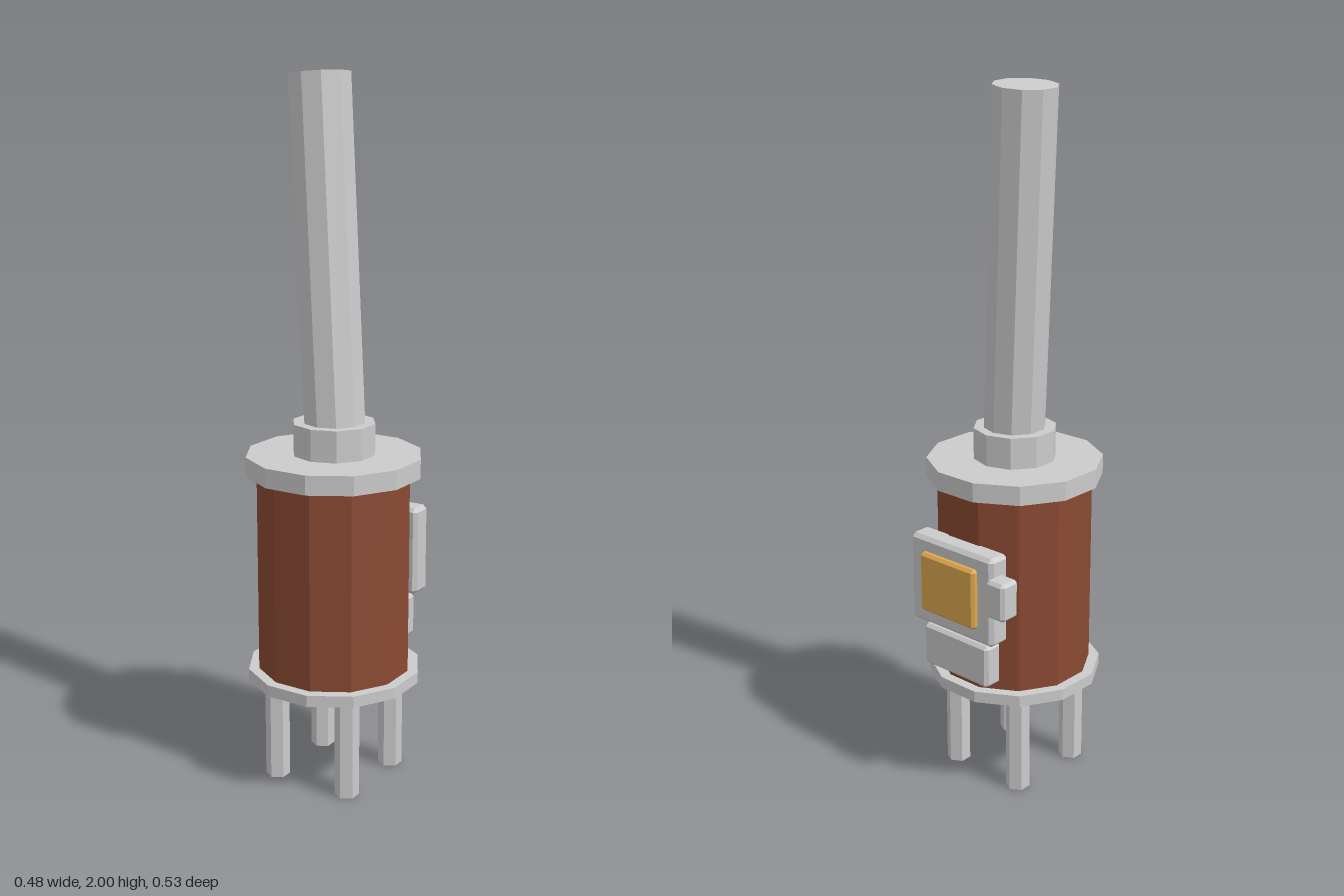
import * as THREE from 'three';
import { ConvexGeometry } from 'three/addons/geometries/ConvexGeometry.js';

const material = (color) => new THREE.MeshStandardMaterial({ color, flatShading: true });
const AXIS_Z = 0.023; // the stove body stands slightly forward of centre

export function createModel() {
  const model = new THREE.Group();
  model.name = 'stove';
  const grey = material(0xcccccc);
  const rust = material(0x8a4a33);
  const gold = material(0xe0a850);

  function add(name, geometry, mat, x, y, z) {
    const mesh = new THREE.Mesh(geometry, mat);
    mesh.name = name;
    mesh.position.set(x, y, z);
    model.add(mesh);
    return mesh;
  }

  // Upright prism between two heights
  function prism(name, radius, y0, y1, sides, turn, mat, x = 0, z = AXIS_Z) {
    const geometry = new THREE.CylinderGeometry(radius, radius, y1 - y0, sides, 1, false, turn);
    return add(name, geometry, mat, x, (y0 + y1) / 2, z);
  }

  // Box with every edge chamfered
  function chamferBox(name, w, h, d, c, mat, x, y, z) {
    const points = [];
    for (const sx of [-1, 1]) for (const sy of [-1, 1]) for (const sz of [-1, 1]) {
      for (let full = 0; full < 3; full++) {
        const inset = (i) => (i === full ? 0 : c);
        points.push(new THREE.Vector3(
          sx * (w / 2 - inset(0)), sy * (h / 2 - inset(1)), sz * (d / 2 - inset(2))));
      }
    }
    return add(name, new ConvexGeometry(points), mat, x, y, z);
  }

  // Firebox drum between two plates, and the flue collar
  const halfStep = Math.PI / 12;
  prism('bottomPlate', 0.25, 0.3, 0.333, 12, halfStep, grey);
  prism('drum', 0.22, 0.333, 0.905, 12, halfStep, rust);
  prism('topPlate', 0.25, 0.905, 0.96, 12, halfStep, grey);
  prism('collar', 0.118, 0.96, 1.05, 10, 0, grey);

  // Four hexagonal legs
  for (const sx of [-1, 1]) for (const sz of [-1, 1]) {
    prism('leg', 0.035, 0, 0.3, 6, 0, grey, sx * 0.119, AXIS_Z + sz * 0.119);
  }

  // Leaning chimney pipe, its foot sunk into the collar
  const top = new THREE.Vector3(-0.075, 1.99, -0.022);
  const foot = new THREE.Vector3(0.002, 1.03, AXIS_Z);
  const lean = top.clone().sub(foot);
  const middle = top.clone().add(foot).multiplyScalar(0.5);
  const pipe = add('chimney', new THREE.CylinderGeometry(0.088, 0.088, lean.length(), 10),
    grey, middle.x, middle.y, middle.z);
  pipe.quaternion.setFromUnitVectors(new THREE.Vector3(0, 1, 0), lean.normalize());

  // Door with glowing window, latch, and ash drawer on the back
  chamferBox('door', 0.31, 0.262, 0.07, 0.011, grey, 0, 0.636, -0.209);
  chamferBox('doorWindow', 0.206, 0.176, 0.03, 0.008, gold, 0, 0.638, -0.247);
  chamferBox('latch', 0.065, 0.11, 0.065, 0.009, grey, -0.186, 0.665, -0.236);
  chamferBox('ashDrawer', 0.245, 0.126, 0.06, 0.009, grey, 0, 0.428, -0.2);

  return model;
}
